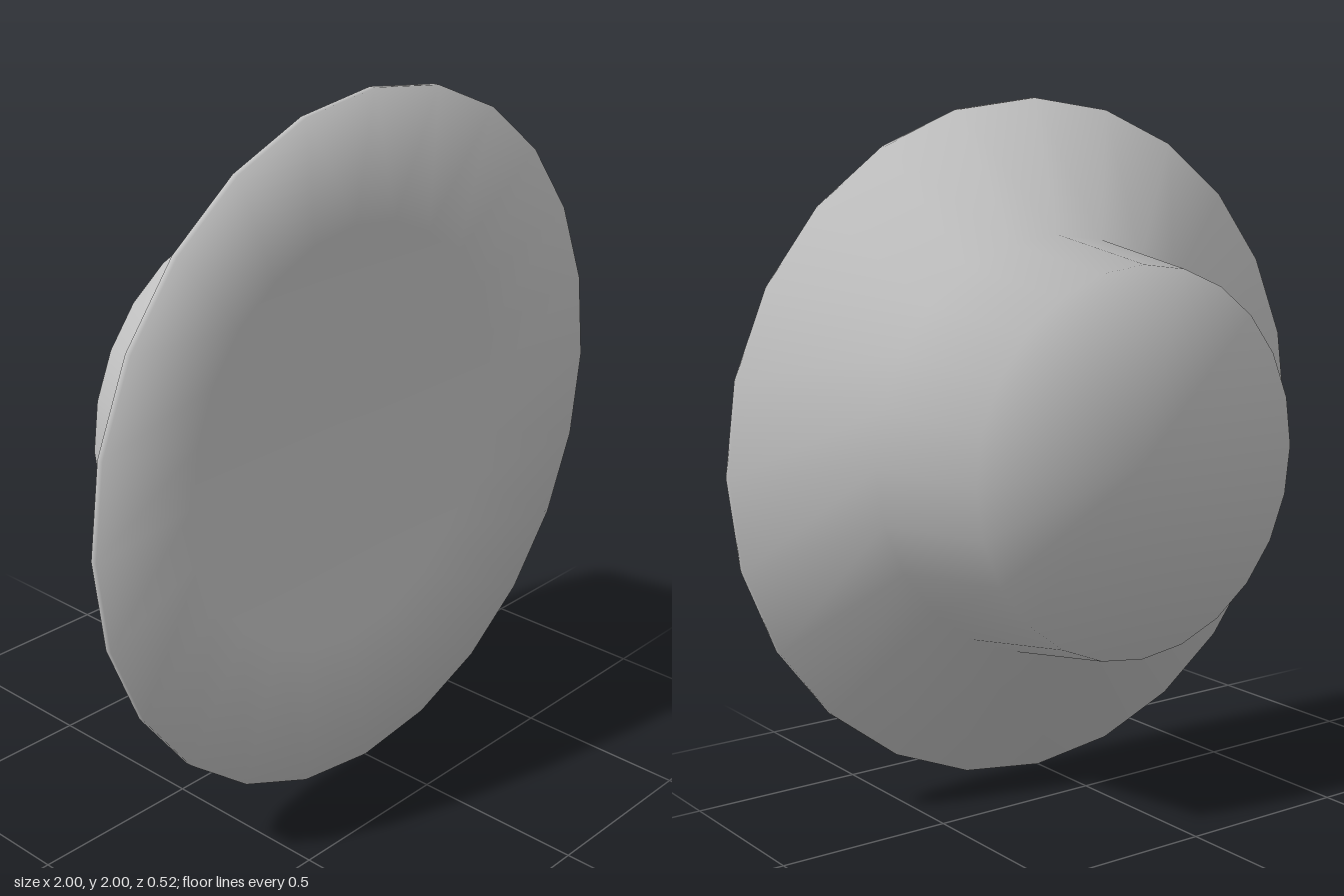
import * as THREE from 'three';

export function createModel() {
  const group = new THREE.Group();
  const material = new THREE.MeshStandardMaterial({ color: 0xcccccc });

  // Half profile (radius, depth) from the back cap round to the dished front
  const profile = [
    [0, -0.262],
    [0.552, -0.262], // back cap edge
    [0.614, 0.134], // plug meets flange
    [1, 0.243], // flange rim, back
    [1, 0.262], // flange rim, front
    [0.62, 0.2], // edge of the shallow recessed floor
    [0, 0.2],
  ].map(([r, d]) => new THREE.Vector2(r, d));

  // 24-sided turned body
  const geometry = new THREE.LatheGeometry(profile, 24);

  // Smooth normals that weigh both neighbouring faces equally, so the thin rim looks rounded
  const faces = profile.slice(1).map((p, i) => {
    const d = p.clone().sub(profile[i]).normalize();
    return new THREE.Vector2(d.y, -d.x);
  });
  const normal = geometry.attributes.normal;
  for (let i = 0; i < normal.count; i++) {
    const j = i % profile.length;
    const before = faces[Math.max(j - 1, 0)];
    const after = faces[Math.min(j, faces.length - 1)];
    const n = before.clone().add(after).normalize();
    const angle = Math.floor(i / profile.length) * (Math.PI / 12);
    normal.setXYZ(i, n.x * Math.sin(angle), n.y, n.x * Math.cos(angle));
  }
  geometry.rotateX(Math.PI / 2); // axis turned to face +z

  const body = new THREE.Mesh(geometry, material);
  body.name = 'flangedPlug';
  body.position.y = 1;
  group.add(body);

  return group;
}
